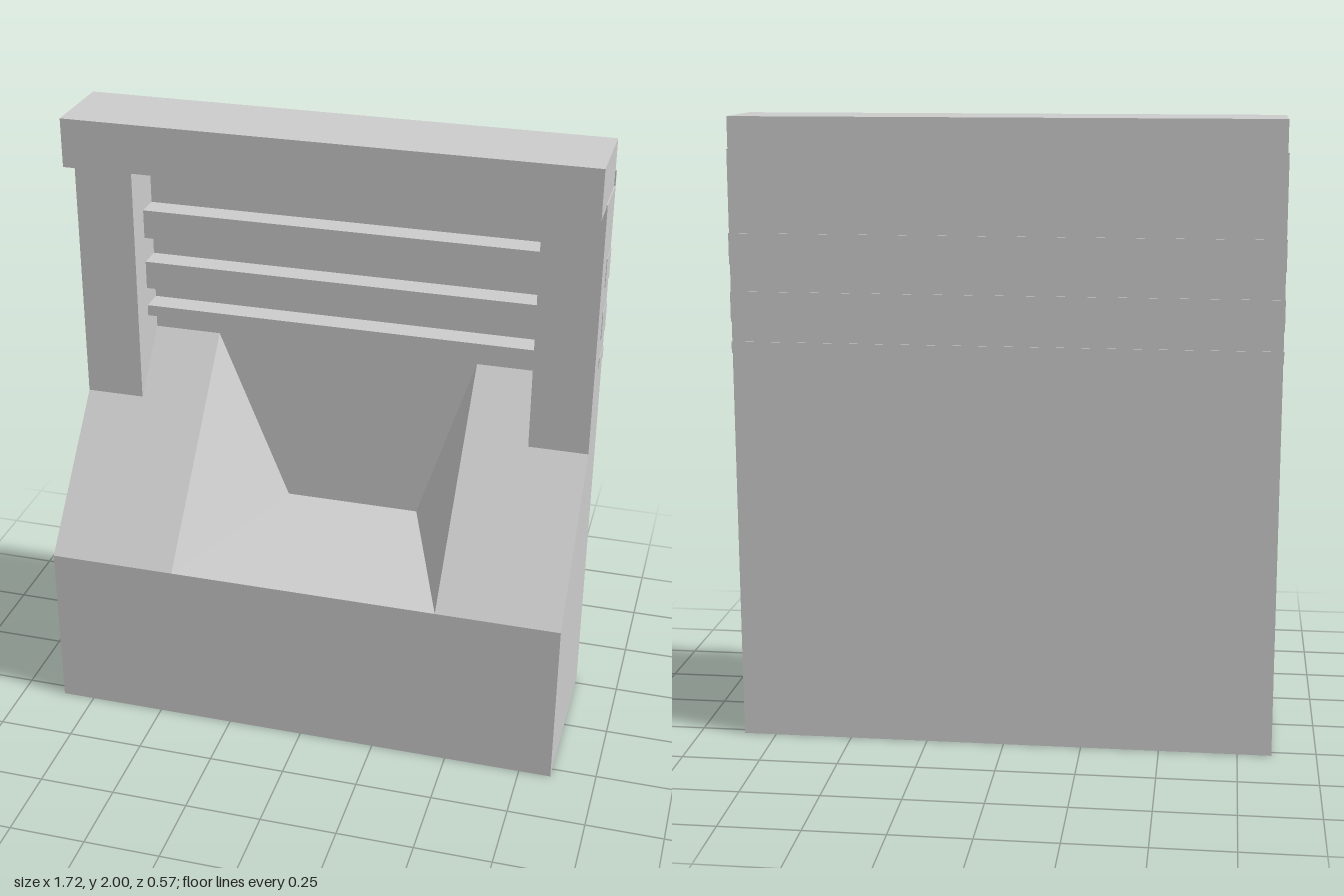
import * as THREE from 'three';

const material = new THREE.MeshStandardMaterial({ color: 0xcccccc, flatShading: true });
const LEFT = 0.855, RIGHT = -0.858, FRONT = 0.29, BACK = -0.27;

// Box given by its minimum and maximum corners
function addBox(group, name, [x0, y0, z0], [x1, y1, z1]) {
  const mesh = new THREE.Mesh(new THREE.BoxGeometry(x1 - x0, y1 - y0, z1 - z0), material);
  mesh.position.set((x0 + x1) / 2, (y0 + y1) / 2, (z0 + z1) / 2);
  mesh.name = name;
  group.add(mesh);
}

// Flat-sided geometry from convex polygons, corners counter-clockwise from outside
function polygonGeometry(polygons) {
  const positions = [];
  for (const p of polygons) {
    for (let i = 1; i < p.length - 1; i++) positions.push(...p[0], ...p[i], ...p[i + 1]);
  }
  const geometry = new THREE.BufferGeometry();
  geometry.setAttribute('position', new THREE.Float32BufferAttribute(positions, 3));
  geometry.computeVertexNormals();
  return geometry;
}

// Sloping base with a hollow that narrows towards the back panel
function baseGeometry() {
  const lip = 0.567, top = 1.19;
  const polygons = [
    [[RIGHT, 0, FRONT], [LEFT, 0, FRONT], [LEFT, lip, FRONT], [RIGHT, lip, FRONT]],
    [[RIGHT, 0, BACK], [LEFT, 0, BACK], [LEFT, 0, FRONT], [RIGHT, 0, FRONT]],
    // hollow floor
    [[-0.44, lip, FRONT], [0.45, lip, FRONT], [0.26, 0.597, BACK], [-0.2, 0.597, BACK]],
  ];
  // outer side, sloping shoulder and hollow cheek on each side
  for (const [outer, rim, floor] of [[LEFT, 0.45, 0.26], [RIGHT, -0.44, -0.2]]) {
    const faces = [
      [[outer, 0, FRONT], [outer, 0, BACK], [outer, top, BACK], [outer, lip, FRONT]],
      [[rim, lip, FRONT], [outer, lip, FRONT], [outer, top, BACK], [rim, top, BACK]],
      [[rim, lip, FRONT], [rim, top, BACK], [floor, 0.597, BACK]],
    ];
    for (const face of faces) polygons.push(outer > 0 ? face : face.reverse());
  }
  return polygonGeometry(polygons);
}

export function createModel() {
  const model = new THREE.Group();
  model.name = 'hoodedBasin';

  const base = new THREE.Mesh(baseGeometry(), material);
  base.name = 'base';
  model.add(base);

  addBox(model, 'backPanel', [RIGHT, 0, -0.278], [LEFT, 1.9, BACK]);
  addBox(model, 'leftPillar', [0.66, 1.0, BACK], [LEFT, 1.85, -0.1]);
  addBox(model, 'rightPillar', [RIGHT, 1.0, BACK], [-0.665, 1.85, -0.1]);
  addBox(model, 'cap', [-0.854, 1.84, -0.28], [0.851, 2, 0]);

  // Slats run through the pillars and stand slightly proud of them
  const slats = [[1.545, 1.642], [1.365, 1.46], [1.265, 1.302]];
  slats.forEach(([bottom, top], i) => {
    addBox(model, `slat${i + 1}`, [-0.86, bottom, -0.281], [0.857, top, -0.19]);
  });

  return model;
}
